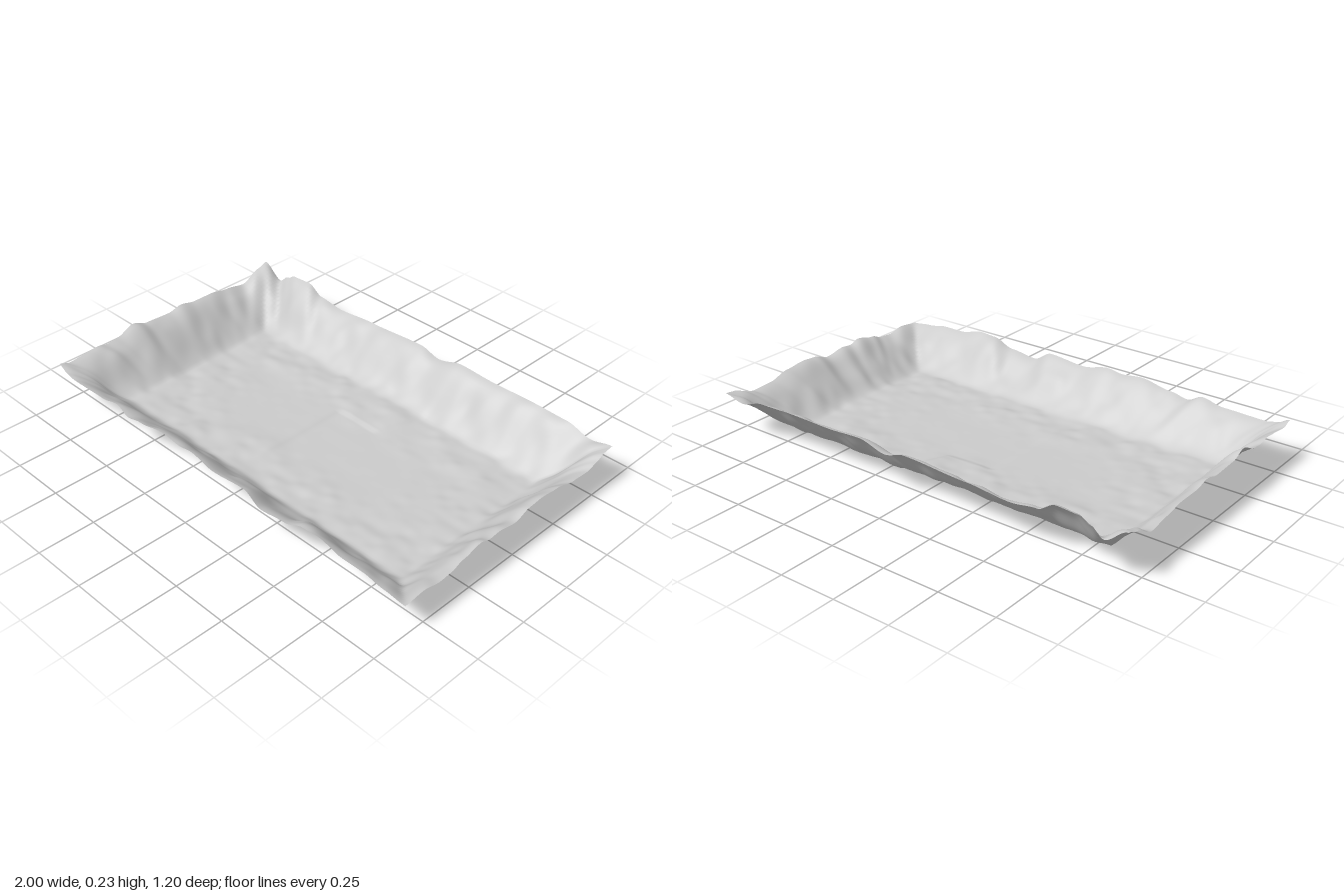
import * as THREE from 'three';

// Rim heights, as [position along the edge, height]
const frontRim = [[-1, .205], [-.95, .18], [-.9, .17], [-.7, .175], [-.6, .195], [-.53, .165], [-.45, .18], [-.3, .205],
  [-.2, .195], [-.13, .205], [0, .18], [.18, .195], [.27, .15], [.4, .165], [.5, .2], [.58, .205], [.7, .18],
  [.8, .18], [.9, .165], [1, .155]];
const backRim = [[-1, .237], [-.9, .175], [-.85, .21], [-.8, .235], [-.7, .24], [-.62, .2], [-.5, .185], [-.3, .2],
  [0, .215], [.1, .19], [.23, .22], [.4, .212], [.6, .215], [.78, .21], [.9, .18], [1, .2]];
const leftRim = [[-.6, .2], [-.55, .195], [-.5, .175], [-.45, .16], [-.35, .165], [-.25, .19], [-.15, .2], [-.08, .195],
  [0, .17], [.1, .185], [.15, .18], [.2, .195], [.3, .175], [.36, .155], [.42, .15], [.5, .165], [.6, .155]];
const rightRim = [[-.6, .237], [-.55, .22], [-.45, .175], [-.35, .19], [-.25, .205], [-.15, .205], [-.07, .22], [0, .205],
  [.13, .21], [.2, .235], [.3, .2], [.35, .195], [.4, .205], [.45, .2], [.55, .19], [.6, .205]];

const smooth = (t) => { t = Math.min(1, Math.max(0, t)); return t * t * (3 - 2 * t); };
const mix = (a, b, t) => a + (b - a) * t;

// Smooth height along a rim
function along(rim, s) {
  let i = 0;
  while (i < rim.length - 2 && s > rim[i + 1][0]) i++;
  const [a, b] = [rim[i], rim[i + 1]];
  return mix(a[1], b[1], smooth((s - a[0]) / (b[0] - a[0])));
}

// Seeded value noise, from -1 to 1
function hash(i, j) {
  const n = Math.sin(i * 127.1 + j * 311.7) * 43758.5453;
  return (n - Math.floor(n)) * 2 - 1;
}
function noise(x, z) {
  const i = Math.floor(x), j = Math.floor(z), u = smooth(x - i), v = smooth(z - j);
  return mix(mix(hash(i, j), hash(i + 1, j), u), mix(hash(i, j + 1), hash(i + 1, j + 1), u), v);
}

// Height of the sheet: rough floor, smooth middle, rising S-shaped walls mitred at the corners
function height(x, z) {
  const dx = (Math.abs(x) - 0.8) / 0.2, dz = (Math.abs(z) - 0.4) / 0.2;
  const d = Math.max(0, dx, dz);
  const rough = smooth(Math.max((Math.abs(x) - 0.35) / 0.4, (Math.abs(z) - 0.1) / 0.2));
  const bumps = (noise(x * 9, z * 12) * 0.6 + noise(x * 20 + 7, z * 24 + 3) * 0.4) * 0.009 * (0.1 + 0.9 * rough);
  // Shallow crease crossing the floor from the back
  const creaseX = z < -0.2 ? 0.12 - (z + 0.2) * 0.33 : -0.1;
  const crease = 0.007 * smooth((creaseX - x) / 0.03 + 0.5) * smooth((x + 0.4) / 0.3) * smooth((0.3 - z) / 0.1);
  const floor = 0.014 + 0.006 * rough + bumps + crease * (1 - d);
  if (d === 0) return floor;
  const rim = dz > dx
    ? along(z > 0 ? frontRim : backRim, x / (0.8 + 0.2 * d))
    : along(x > 0 ? leftRim : rightRim, z * 0.6 / (0.4 + 0.2 * d));
  const ripple = noise(x * 14 + 5, z * 14 + 9) * 0.012 * Math.sin(Math.PI * d);
  return mix(floor, rim, smooth(0.08 + d * 0.92) * 0.75 + 0.25 * d) + ripple;
}

export function createModel() {
  const group = new THREE.Group();
  group.name = 'shallowBasin';
  const stone = new THREE.MeshStandardMaterial({ color: 0xcccccc, side: THREE.DoubleSide });
  stone.name = 'pale grey';

  // One rectangular sheet shaped by the height rule
  const geometry = new THREE.PlaneGeometry(2, 1.2, 160, 96).rotateX(-Math.PI / 2);
  const position = geometry.attributes.position;
  for (let i = 0; i < position.count; i++) {
    position.setY(i, height(position.getX(i), position.getZ(i)));
  }
  geometry.computeVertexNormals();
  geometry.computeBoundingBox();
  geometry.translate(0, -geometry.boundingBox.min.y, 0);

  const basin = new THREE.Mesh(geometry, stone);
  basin.name = 'basinSheet';
  group.add(basin);
  return group;
}
